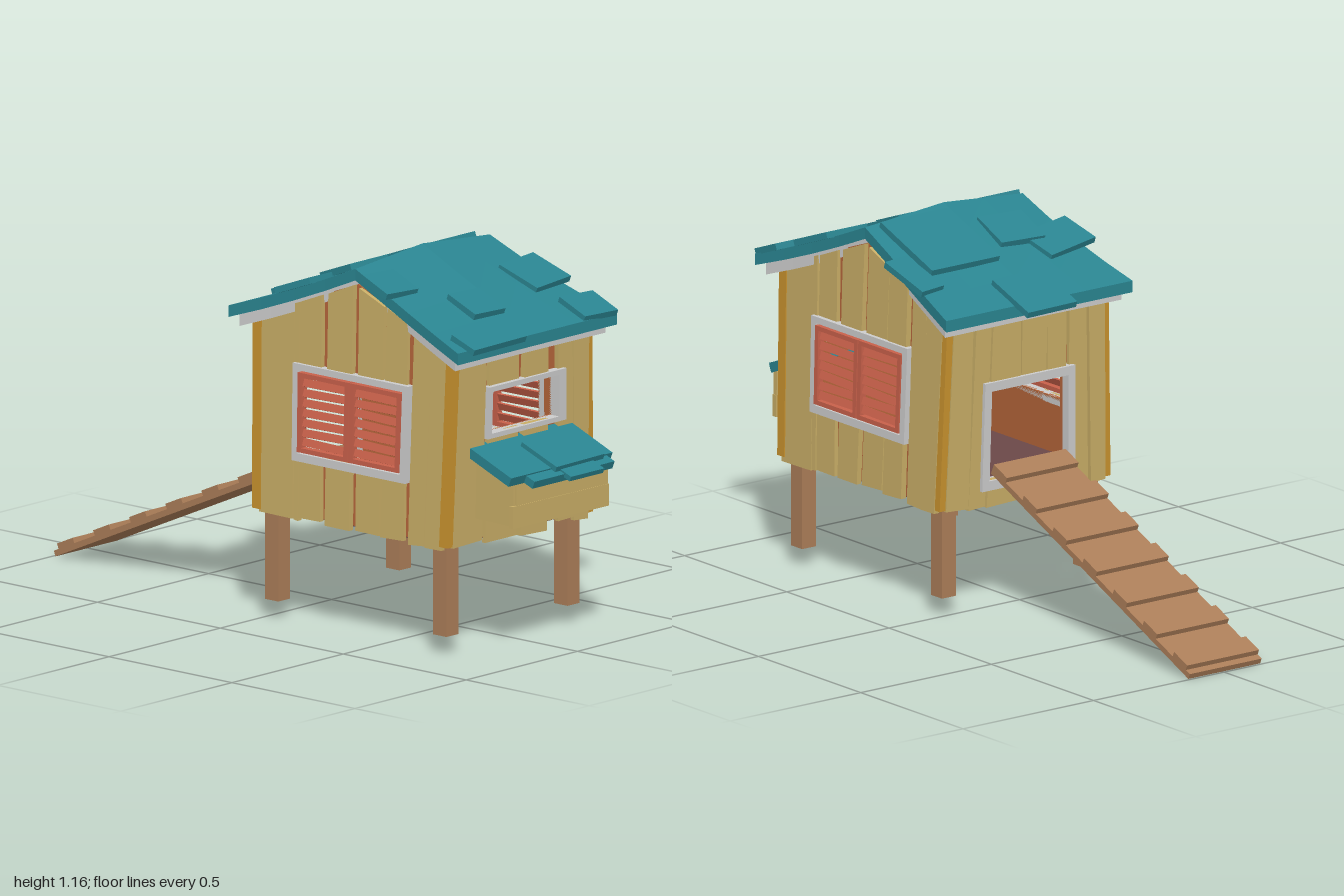
import * as THREE from 'three';

const material = (color) => new THREE.MeshStandardMaterial({ color, flatShading: true, side: THREE.DoubleSide });
const M = {
  plank: material(0xc8ad66), edge: material(0xc8922e), inner: material(0xb5653a), teal: material(0x2a8490),
  red: material(0xc8604a), wood: material(0xab7d58), floor: material(0x6b4848), trim: material(0xcccccc),
};
const MID = 0.37; // z of the roof ridge

// small seeded jitter in -1..1
let seed = 7;
const jitter = (a) => {
  seed = (seed * 16807) % 2147483647;
  return a * (seed / 1073741823.5 - 1);
};

function add(parent, name, geo, mat, x = 0, y = 0, z = 0) {
  const mesh = new THREE.Mesh(geo, mat);
  mesh.name = name;
  mesh.position.set(x, y, z);
  parent.add(mesh);
  return mesh;
}

const box = (w, h, d) => new THREE.BoxGeometry(w, h, d);

function group(parent, name) {
  const g = new THREE.Group();
  g.name = name;
  parent.add(g);
  return g;
}

// flat polygon with an optional rectangular hole [u0, u1, v0, v1]
function panel(points, depth, hole) {
  const shape = new THREE.Shape(points.map(([u, v]) => new THREE.Vector2(u, v)));
  if (hole) shape.holes.push(new THREE.Path(rect(...hole).map(([u, v]) => new THREE.Vector2(u, v))));
  return new THREE.ExtrudeGeometry(shape, { depth, bevelEnabled: false });
}
const rect = (u0, u1, v0, v1) => [[u0, v0], [u1, v0], [u1, v1], [u0, v1]];

// height of the roof's upper surface
function roofY(x, z) {
  const t = Math.abs(z - MID) / 0.47;
  return 1.165 - 0.23 * t + 0.025 * t * t - 0.085 * Math.abs(x) * Math.max(0, 1 - t);
}

// house walls lean: wider in x at the bottom, wider in z at the top
function lean(root) {
  root.updateMatrixWorld(true);
  root.traverse((m) => {
    if (!m.isMesh) return;
    const p = m.geometry.attributes.position, v = new THREE.Vector3(), inv = m.matrixWorld.clone().invert();
    for (let i = 0; i < p.count; i++) {
      v.fromBufferAttribute(p, i).applyMatrix4(m.matrixWorld);
      const k = (v.y - 0.33) / 0.57;
      v.x *= 1.03 - 0.055 * k;
      v.z = MID + (v.z - MID) * (1 + 0.035 * k);
      v.applyMatrix4(inv);
      p.setXYZ(i, v.x, v.y, v.z);
    }
    m.geometry.computeVertexNormals();
  });
}

// one wall: inner sheet, planks split around the opening, and a window or door frame
function wall(parent, name, half, top, planks, hole, frame) {
  const g = group(parent, name);
  const outline = [[-half, 0.345], [half, 0.345], [half, top(half)], [0, top(0)], [-half, top(half)]];
  add(g, 'innerSheet', panel(outline, 0.012, hole), M.inner, 0, 0, -0.012);
  for (const [a, b] of planks) {
    const low = 0.332 + jitter(0.008), s = jitter(0.005), e = jitter(0.005);
    const depth = 0.015 + jitter(0.004);
    const piece = (pts) => add(g, 'plank', panel(pts, depth), M.plank);
    const base = [[a - s, low], [b + e, low + jitter(0.005)]];
    const head = [[b - e, top(b)], [a + s, top(a)]];
    if (a >= hole[0] - 0.01 && b <= hole[1] + 0.01) {
      piece([...base, [b, hole[2]], [a, hole[2]]]);
      piece([[a, hole[3]], [b, hole[3]], ...head]);
    } else piece([...base, ...head]);
  }
  add(g, 'frame', panel(rect(...frame), 0.04, hole), M.trim, 0, 0, -0.012);
  return g;
}

// louvred shutter between u0 and u1
function shutter(parent, u0, u1) {
  const g = group(parent, 'shutter');
  const v0 = 0.545, v1 = 0.79, c = (u0 + u1) / 2, n = 7;
  add(g, 'shutterFrame', panel(rect(u0, u1, v0, v1), 0.022, [u0 + 0.016, u1 - 0.016, v0 + 0.014, v1 - 0.014]), M.red, 0, 0, 0.01);
  for (let i = 0; i < n; i++) {
    const slat = add(g, 'slat', box(u1 - u0 - 0.02, 0.024, 0.007), M.red, c, v0 + 0.03 + i * 0.0308, 0.02);
    slat.rotation.set(-0.35, 0, jitter(0.025));
  }
}

// slab that follows the roof: a box whose vertices are moved onto the roof surface
function roofSlab(halfX, halfZ, drop, thick) {
  const geo = new THREE.BoxGeometry(2, 1, 2, 4, 1, 8), p = geo.attributes.position;
  for (let i = 0; i < p.count; i++) {
    const t = p.getZ(i), z = MID + t * halfZ;
    const x = p.getX(i) * (halfX - 0.055 * (1 - Math.abs(t) ** 1.4));
    p.setXYZ(i, x, roofY(x, z) - drop - (p.getY(i) < 0 ? thick : 0), z);
  }
  geo.computeVertexNormals();
  return geo;
}

export function createModel() {
  seed = 7;
  const model = new THREE.Group();
  model.name = 'coop';

  // walls
  const house = group(model, 'house');
  const gable = (u) => roofY(0.3, MID + u) - 0.05;
  const flat = () => 0.925;
  const sidePlanks = [[-0.375, -0.235], [-0.23, -0.212], [-0.21, -0.125], [-0.1, -0.003], [0.018, 0.115], [0.122, 0.21], [0.232, 0.3], [0.304, 0.375]];
  for (const s of [1, -1]) {
    const w = wall(house, s > 0 ? 'leftWall' : 'rightWall', 0.385, gable, sidePlanks, [-0.205, 0.205, 0.54, 0.795], [-0.228, 0.228, 0.515, 0.815]);
    shutter(w, -0.204, -0.002);
    shutter(w, 0.002, 0.204);
    w.position.set(s * 0.302, 0, MID);
    w.rotation.y = s * Math.PI / 2;
  }
  const frontPlanks = [[-0.295, -0.17], [-0.155, -0.02], [0, 0.108], [0.158, 0.225], [0.228, 0.295]];
  wall(house, 'frontWall', 0.3, flat, frontPlanks, [-0.155, 0.148, 0.67, 0.8], [-0.172, 0.18, 0.655, 0.816]).position.z = 0.756;
  const backPlanks = [[-0.295, -0.215], [-0.21, -0.15], [-0.145, -0.03], [-0.025, 0.07], [0.074, 0.145], [0.16, 0.23], [0.236, 0.295]];
  const back = wall(house, 'backWall', 0.3, flat, backPlanks, [-0.147, 0.147, 0.41, 0.692], [-0.174, 0.174, 0.38, 0.72]);
  back.position.z = -0.016;
  back.rotation.y = Math.PI;
  for (const x of [-0.304, 0.304]) for (const z of [-0.01, 0.75])
    add(house, 'cornerPost', box(0.028, 0.58, 0.034), M.edge, x, 0.63, z);
  add(house, 'floor', box(0.6, 0.02, 0.77), M.floor, 0, 0.352, MID);
  lean(house);

  // legs
  for (const x of [-0.274, 0.27]) for (const z of [0.028, 0.712])
    add(model, 'leg', box(0.053, 0.29, 0.055), M.wood, x, 0.202, z);

  // roof and the pale trim under it
  const roof = group(model, 'roof');
  add(roof, 'roofSlab', roofSlab(0.357, 0.467, 0, 0.036), M.teal);
  add(roof, 'roofTrim', roofSlab(0.338, 0.438, 0.036, 0.036), M.trim);

  // loose shingles: x, z, width, depth, twist
  const shingles = [
    [0, -0.072, 0.19, 0.17, 0.02], [0.312, 0.118, 0.09, 0.16, 0.1], [-0.26, 0.145, 0.2, 0.12, 0.2],
    [-0.135, 0.215, 0.16, 0.13, -0.06], [0.13, 0.225, 0.26, 0.25, 0], [-0.27, 0.48, 0.13, 0.11, -0.08],
    [0.265, 0.585, 0.17, 0.14, 0.1], [-0.08, 0.66, 0.13, 0.115, -0.05], [-0.195, 0.815, 0.24, 0.09, 0.02], [0.285, 0.785, 0.14, 0.11, -0.06],
  ];
  for (const [x, z, w, d, twist] of shingles) {
    const s = Math.sign(z - MID);
    const m = add(roof, 'shingle', box(w, 0.02, d * 1.08), M.teal, x, roofY(x, z) + 0.008, z);
    m.rotation.set(s * 0.36, twist, 0, 'XYZ');
  }

  // nest box on the front
  const nest = group(model, 'nestBox');
  const cheek = [[0.75, 0.415], [0.925, 0.41], [0.925, 0.545], [0.75, 0.62]];
  for (const x of [-0.205, 0.19]) {
    const m = add(nest, 'nestSide', panel(cheek.map(([z, y]) => [-z, y]), 0.015), M.plank, x);
    m.rotation.y = Math.PI / 2;
  }
  add(nest, 'nestFrontLower', box(0.43, 0.068, 0.016), M.plank, 0, 0.44, 0.925).rotation.z = -0.008;
  add(nest, 'nestFrontUpper', box(0.41, 0.075, 0.016), M.plank, 0.008, 0.508, 0.923).rotation.z = 0.008;
  add(nest, 'nestFloor', box(0.4, 0.014, 0.17), M.plank, 0, 0.418, 0.84);
  const lid = group(nest, 'nestLid');
  lid.position.set(0, 0.628, 0.762);
  lid.rotation.x = 0.38;
  add(lid, 'lidBoard', box(0.455, 0.03, 0.2), M.teal, -0.007, -0.002, 0.09);
  add(lid, 'lidLowerBoard', box(0.36, 0.025, 0.1), M.teal, 0.015, -0.004, 0.176);
  add(lid, 'lidShingle', box(0.22, 0.018, 0.15), M.teal, 0.055, 0.018, 0.13).rotation.y = 0.02;
  add(lid, 'lidEdgeShingle', box(0.15, 0.016, 0.06), M.teal, 0.045, 0.006, 0.222);

  // ramp at the back with cross battens
  const ramp = group(model, 'ramp');
  const rise = 0.425, run = 0.965, length = Math.hypot(rise, run);
  ramp.position.set(-0.007, 0.222, -0.513);
  ramp.rotation.x = -Math.atan2(rise, run);
  add(ramp, 'rampBoard', box(0.275, 0.018, length), M.wood);
  for (let i = 0; i < 7; i++)
    add(ramp, 'batten', box(0.275, 0.018, 0.07), M.wood, 0, 0.017, length / 2 - 0.035 - i * 0.1605);

  return model;
}
